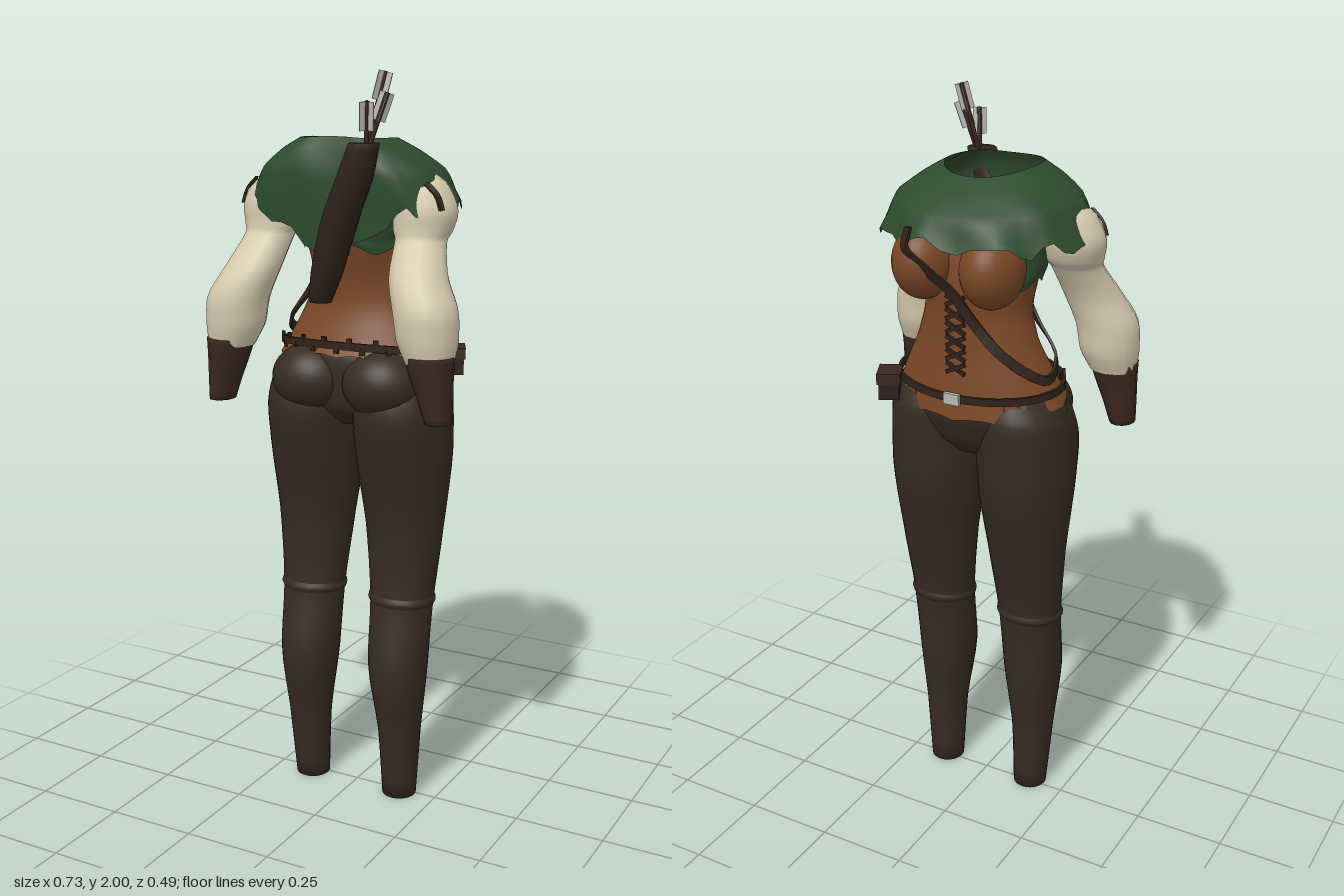
import * as THREE from 'three';

const mat = (name, color) => {
  const m = new THREE.MeshStandardMaterial({ color, side: THREE.DoubleSide });
  m.name = name;
  return m;
};
const V = (x, y, z) => new THREE.Vector3(x, y, z);

// Surface from a rule fn(u, v); u runs round (closed or open), v runs upward
function grid(cols, rows, fn, closed = true) {
  const pos = [], idx = [], n = closed ? cols : cols + 1;
  for (let r = 0; r <= rows; r++)
    for (let c = 0; c < n; c++) pos.push(...fn(c / cols, r / rows).toArray());
  for (let r = 0; r < rows; r++)
    for (let c = 0; c < cols; c++) {
      const d = (c + 1) % n, a = r * n, b = a + n;
      idx.push(a + c, a + d, b + c, a + d, b + d, b + c);
    }
  const g = new THREE.BufferGeometry();
  g.setAttribute('position', new THREE.Float32BufferAttribute(pos, 3));
  g.setIndex(idx);
  g.computeVertexNormals();
  return g;
}

// Smooth stack of ellipses: each ring is [y, centreX, centreZ, radiusX, radiusZ]
function loft(rings, { s = 1, cols = 24, capped = false, from = 0, to = Math.PI * 2, warp } = {}) {
  const centre = new THREE.CatmullRomCurve3(rings.map(r => V(r[1] * s, r[0], r[2])));
  const radius = new THREE.CatmullRomCurve3(rings.map(r => V(r[3], 0, r[4])));
  const steps = (rings.length - 1) * 4, rows = steps + (capped ? 2 : 0);
  return grid(cols, rows, (u, v) => {
    const row = Math.round(v * rows) - (capped ? 1 : 0);
    const t = Math.min(1, Math.max(0, row / steps)), a = from + u * (to - from);
    const k = row < 0 || row > steps ? 0 : 1;
    const p = centre.getPoint(t), q = radius.getPoint(t);
    p.x += k * q.x * Math.sin(a);
    p.z += k * q.z * Math.cos(a);
    if (warp) warp(p, a, t);
    return p;
  }, to - from > 6.28);
}

// Flat band along a path, facing away from the body's axis
function strap(points, width, closed = false, thick = 0.008) {
  const curve = new THREE.CatmullRomCurve3(points.map(p => V(...p)), closed);
  return grid(4, 48, (u, v) => {
    const p = curve.getPoint(v), t = curve.getTangent(v);
    const n = V(p.x, 0, p.z + 0.03).normalize();
    const b = t.clone().cross(n).normalize();
    const i = Math.round(u * 4) % 4;
    return p.addScaledVector(b, (i === 0 || i === 3 ? -0.5 : 0.5) * width)
      .addScaledVector(n, (i < 2 ? -0.5 : 0.5) * thick);
  }).toNonIndexed();
}

export function createModel() {
  const model = new THREE.Group();
  const green = mat('green cloth', 0x2e4c2d), cream = mat('cream linen', 0xd6caae);
  const leather = mat('tan leather', 0x7a4726), pants = mat('dark trousers', 0x362b21);
  const glove = mat('glove leather', 0x3b281d), dark = mat('strap leather', 0x30231a);
  const steel = mat('pale metal', 0xb9b8b4);
  const add = (name, geo, m, parent = model) => {
    if (geo.index === null) geo.computeVertexNormals();
    const mesh = new THREE.Mesh(geo, m);
    mesh.name = name;
    parent.add(mesh);
    return mesh;
  };
  const ball = (name, m, p, r) => {
    const o = add(name, new THREE.SphereGeometry(1, 28, 20), m);
    o.position.set(...p);
    o.scale.set(...r);
  };
  const rod = (name, a, b, r, m) => {
    const d = b.clone().sub(a);
    const o = add(name, new THREE.CylinderGeometry(r, r, d.length(), 6), m);
    o.position.copy(a).addScaledVector(d, 0.5);
    o.quaternion.setFromUnitVectors(V(0, 1, 0), d.normalize());
    return o;
  };

  // Limbs and mirrored parts
  for (const s of [1, -1]) {
    const side = s > 0 ? 'left' : 'right';
    add(side + 'Leg', loft([
      [0, .142, .011, .048, .049], [.2, .145, .018, .06, .063], [.4, .141, .022, .083, .088],
      [.58, .14, 0, .09, .079], [.8, .138, -.02, .11, .101], [1, .134, -.02, .132, .14],
      [1.12, .133, -.013, .133, .152], [1.2, .13, -.025, .124, .142], [1.26, .12, -.03, .09, .11],
    ], { s, capped: true }), pants);
    add(side + 'KneeSeam', loft([
      [.575, .14, 0, .089, .078], [.59, .14, -.001, .096, .085], [.605, .14, -.002, .091, .08],
    ], { s }), pants);
    ball(side + 'Buttock', pants, [s * .108, 1.2, .055], [.113, .095, .105]);
    ball(side + 'BustCup', leather, [s * .098, 1.61, -.147], [.08, .1, .098]);
    add(side + 'Sleeve', loft([
      [1.76, .19, .04, .04, .04], [1.72, .207, .045, .074, .074], [1.66, .223, .05, .086, .083],
      [1.61, .222, .06, .078, .075], [1.585, .224, .075, .068, .068], [1.5, .245, .13, .077, .076],
      [1.42, .277, .155, .085, .084], [1.35, .285, .158, .081, .08], [1.29, .295, .165, .062, .062],
    ], { s, cols: 14 }), cream);
    add(side + 'Glove', loft([
      [1.14, .325, .172, .034, .042], [1.2, .315, .171, .045, .048],
      [1.26, .303, .17, .057, .057], [1.31, .296, .168, .066, .065],
    ], { s, cols: 12, capped: true }), glove);
    add(side + 'ShoulderTie', strap([[s * .25, 1.73, .1], [s * .28, 1.7, .1], [s * .293, 1.665, .1]], .014), dark);
  }

  // Hips and laced bodice
  add('hips', loft([
    [1.08, 0, -.02, .17, .08], [1.13, 0, -.02, .24, .125], [1.2, 0, -.03, .253, .142],
    [1.26, 0, -.03, .232, .142], [1.3, 0, -.03, .2, .125],
  ], { cols: 32 }), pants);
  add('bodice', loft([
    [1.24, 0, -.03, .243, .15], [1.3, 0, -.033, .215, .136], [1.4, 0, -.045, .167, .114],
    [1.48, 0, -.042, .147, .116], [1.56, 0, -.035, .157, .131], [1.65, 0, -.02, .166, .134],
    [1.74, 0, .005, .155, .12],
  ], {
    cols: 36,
    warp: (p, a, t) => { p.y += Math.max(0, 1 - t * 6) * (.035 * Math.cos(a) - .005 * Math.cos(12 * a)); },
  }), leather);
  for (let y = 1.34; y < 1.53; y += 0.036)
    for (const s of [1, -1]) {
      const lace = add('bodiceLace', new THREE.BoxGeometry(.06, .01, .009), dark);
      lace.position.set(0, y, -.166);
      lace.rotation.z = s * .45;
    }

  // Green shawl: rows run from hem to neck as [x radius, back z, front z, side y, back y, front y]
  const rows = [
    [.287, .15, -.238, 1.665, 1.565, 1.675], [.245, .165, -.21, 1.755, 1.73, 1.735],
    [.175, .15, -.155, 1.81, 1.805, 1.78], [.125, .128, -.09, 1.838, 1.842, 1.82],
  ];
  const shape = new THREE.CatmullRomCurve3(rows.map(r => V(r[0], r[1], r[2])));
  const height = new THREE.CatmullRomCurve3(rows.map(r => V(r[3], r[4], r[5])));
  add('shawl', grid(56, 14, (u, v) => {
    const a = u * Math.PI * 2, s = Math.sin(a), c = Math.cos(a), q = shape.getPoint(v), h = height.getPoint(v);
    const sq = x => Math.sign(x) * Math.abs(x) ** 0.85;
    const fold = 1 + .018 * Math.sin(9 * a + 7 * v) * (1 - v);
    const k = c > 0 ? c ** 6 : c * c;
    const y = h.x + ((c > 0 ? h.y : h.z) - h.x) * k;
    const rag = (1 - v) ** 4 * (.014 * Math.sin(11 * a) + .009 * Math.sin(17 * a + 1));
    const mid = .035 * (1 - k);
    return V(sq(s) * q.x * fold, y + rag, sq(c) * (c > 0 ? q.y : -q.z) * fold + mid);
  }), green);
  add('shawlBackWrap', loft([
    [1.555, 0, -.03, .163, .14], [1.6, 0, -.02, .172, .148], [1.7, 0, -.005, .18, .145],
  ], {
    from: -2.05, to: 2.05, cols: 30,
    warp: (p, a, t) => { p.y += (1 - t) * .012 * Math.sin(7 * a); p.z += .005 * Math.sin(9 * t + 2 * a); },
  }), green);

  // Belt, buckle, back trim and pouch
  const onBelt = (a, out = 0) => [(.236 + out) * Math.sin(a), 1.283 + .02 * Math.cos(a), -.031 + (.15 + out) * Math.cos(a)];
  add('belt', strap(Array.from({ length: 16 }, (_, i) => onBelt(i * Math.PI / 8)), .02, true), dark);
  for (let i = -7; i <= 7; i++) {
    const notch = add('trimNotch', new THREE.BoxGeometry(.014, .018, .008), dark), a = i * .16;
    notch.position.set(...onBelt(a));
    notch.position.y += i % 2 ? .012 : -.012;
    notch.rotation.y = a;
  }
  add('buckle', new THREE.BoxGeometry(.045, .03, .012), steel).position.set(0, 1.263, -.186);
  const pouch = new THREE.Group();
  pouch.name = 'pouch';
  pouch.position.set(.228, 1.245, -.125);
  pouch.rotation.y = .45;
  add('pouchBody', new THREE.BoxGeometry(.055, .07, .075), dark, pouch);
  add('pouchFlap', new THREE.BoxGeometry(.064, .03, .082), glove, pouch).position.y = .024;
  model.add(pouch);

  // Strap from the chest round the right hip to the quiver
  add('chestStrap', strap([
    [.1, 1.71, -.22], [.1, 1.66, -.238], [.05, 1.61, -.225], [0, 1.55, -.187], [-.05, 1.47, -.163],
    [-.127, 1.38, -.137], [-.212, 1.31, -.06], [-.19, 1.35, .03], [-.12, 1.43, .055], [-.06, 1.49, .09],
    [-.01, 1.51, .14],
  ], .026), dark);

  // Quiver and arrows
  add('quiver', loft([
    [1.42, -.028, .15, .03, .024], [1.5, 0, .165, .044, .036], [1.65, .055, .187, .05, .042],
    [1.75, .1, .197, .048, .041], [1.83, .128, .202, .04, .037],
  ], { cols: 12, capped: true }), dark);
  const tips = [[.163, 2, .155], [.183, 1.95, .185], [.148, 1.93, .225]];
  tips.forEach((p, i) => {
    const base = V(.12 + i * .008, 1.79, .19 + i * .008);
    const shaft = rod('arrowShaft', base, V(...p), .006, glove);
    const len = shaft.geometry.parameters.height;
    for (let k = 0; k < 3; k++) {
      const vane = add('arrowFletching', new THREE.BoxGeometry(.02, .07, .003), steel, shaft);
      const a = k * Math.PI * 2 / 3 + i;
      vane.position.set(.01 * Math.cos(a), len / 2 - .036, -.01 * Math.sin(a));
      vane.rotation.y = a;
    }
  });
  return model;
}
